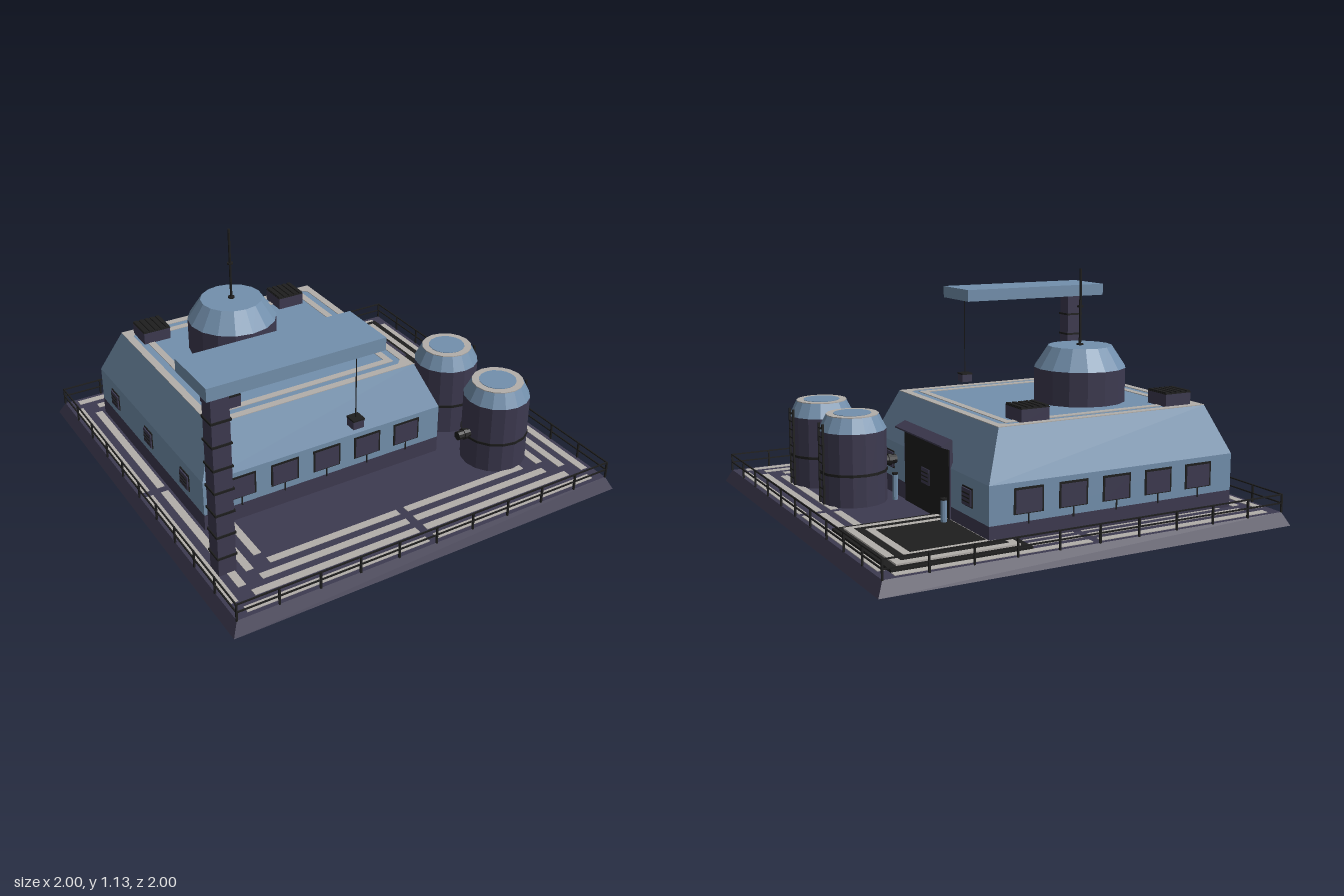
import * as THREE from 'three';

const mat = (name, color, side = THREE.FrontSide) => {
  const m = new THREE.MeshStandardMaterial({ color, side, flatShading: true });
  m.name = name;
  return m;
};

export function createModel() {
  const blue = mat('steel blue', 0x7390ad);
  const purple = mat('dark violet', 0x3d3a50, THREE.DoubleSide);
  const pale = mat('pale grey', 0xb2aeaa);
  const black = mat('charcoal', 0x1e1e1e);

  const root = new THREE.Group();
  const group = (name, x = 0, y = 0, z = 0, parent = root) => {
    const g = new THREE.Group();
    g.name = name;
    g.position.set(x, y, z);
    parent.add(g);
    return g;
  };
  const add = (parent, name, geo, m, x = 0, y = 0, z = 0) => {
    const mesh = new THREE.Mesh(geo, m);
    mesh.name = name;
    mesh.position.set(x, y, z);
    parent.add(mesh);
    return mesh;
  };
  // Box given by its limits on each axis
  const box = (parent, name, m, x0, x1, y0, y1, z0, z1) =>
    add(parent, name, new THREE.BoxGeometry(x1 - x0, y1 - y0, z1 - z0), m,
      (x0 + x1) / 2, (y0 + y1) / 2, (z0 + z1) / 2);
  // Cylinder or cone standing between two heights
  const drum = (parent, name, m, rBottom, rTop, y0, y1, sides = 16, x = 0, z = 0) =>
    add(parent, name, new THREE.CylinderGeometry(rTop, rBottom, y1 - y0, sides), m, x, (y0 + y1) / 2, z);
  // Box whose top face is narrower than its base
  const taper = (w, d, topW, topD, h) => {
    const geo = new THREE.BoxGeometry(w, h, d);
    const p = geo.attributes.position;
    for (let i = 0; i < p.count; i++) {
      if (p.getY(i) > 0) p.setXYZ(i, p.getX(i) * topW / w, p.getY(i), p.getZ(i) * topD / d);
    }
    geo.computeVertexNormals();
    return geo;
  };
  const vectors = pts => pts.map(p => new THREE.Vector2(...p));
  // Flat rectangular frame lying on a surface; inner corners may be chamfered
  const frame = (hw, hd, t, h, c = 0) => {
    const s = new THREE.Shape(vectors([[-hw, -hd], [hw, -hd], [hw, hd], [-hw, hd]]));
    const a = hw - t, b = hd - t;
    s.holes.push(new THREE.Path(vectors(c
      ? [[-a + c, -b], [-a, -b + c], [-a, b - c], [-a + c, b], [a - c, b], [a, b - c], [a, -b + c], [a - c, -b]]
      : [[-a, -b], [-a, b], [a, b], [a, -b]])));
    return new THREE.ExtrudeGeometry(s, { depth: h, bevelEnabled: false }).rotateX(-Math.PI / 2);
  };

  // Base platform: sloping skirt, open underneath, closed by the deck plate
  const platform = group('platform');
  const skirt = new THREE.CylinderGeometry(0.97 * Math.SQRT2, Math.SQRT2, 0.06, 4, 1, true).rotateY(Math.PI / 4);
  add(platform, 'skirt', skirt, purple, 0, 0.03, 0);
  box(platform, 'deckPlate', purple, -0.97, 0.97, 0.056, 0.06, -0.97, 0.97);

  // Painted concentric deck stripes, broken at the centre lines
  const deck = group('deckStripes');
  [0.93, 0.855, 0.78, 0.703].forEach((h, k) => {
    for (const s of [-1, 1]) for (const e of [-1, 1]) {
      const lenX = h - 0.04, lenZ = h - 0.08;
      if (k < 3 || s > 0)
        add(deck, 'stripe', new THREE.BoxGeometry(lenX, 0.004, 0.037), pale, e * (0.02 + lenX / 2), 0.061, s * h);
      if (k < 3 || s < 0)
        add(deck, 'stripe', new THREE.BoxGeometry(0.037, 0.004, lenZ), pale, s * h, 0.061, e * (0.02 + lenZ / 2));
    }
  });

  // Perimeter railing
  const rails = group('railing');
  for (let side = 0; side < 4; side++) {
    const r = group('railSide', 0, 0, 0, rails);
    r.rotation.y = side * Math.PI / 2;
    for (const y of [0.102, 0.141]) box(r, 'rail', black, -0.974, 0.974, y - 0.003, y + 0.003, 0.967, 0.973);
    for (let i = 0; i < 10; i++) {
      const x = -0.97 + i * 0.194;
      box(r, 'railPost', black, x - 0.004, x + 0.004, 0.058, 0.144, 0.966, 0.974);
    }
  }

  // Landing pad of nested squares
  const pad = group('landingPad', 0.597, 0, -0.602);
  [0.312, 0.275, 0.24, 0.205, 0.17].forEach((h, i) =>
    box(pad, 'padLayer', i % 2 ? pale : black, -h, h, 0.06, i ? 0.078 + i * 0.0015 : 0.072, -h, h));

  // Main hall
  const hall = group('mainHall', -0.2, 0, -0.205);
  const W = 0.622, D = 0.585;
  box(hall, 'plinth', purple, -W, W, 0.06, 0.14, -D, D);
  box(hall, 'walls', blue, -W, W, 0.14, 0.31, -D, D);
  add(hall, 'slopedRoof', taper(W * 2, D * 2, 1.06, 0.995, 0.216), blue, 0, 0.418, 0);
  add(hall, 'roofEdge', frame(0.53, 0.4975, 0.036, 0.004, 0.03), pale, 0, 0.525, 0);
  add(hall, 'roofInnerFrame', frame(0.46, 0.428, 0.034, 0.003), pale, 0, 0.526, 0);

  // Framed windows along the front and back
  for (const s of [1, -1]) {
    const row = group('windowRow', 0, 0, 0, hall);
    if (s < 0) row.rotation.y = Math.PI;
    for (let i = -2; i <= 2; i++) {
      const w = group('window', i * 0.218, 0, D, row);
      box(w, 'windowFrame', black, -0.071, 0.071, 0.174, 0.287, 0, 0.003);
      box(w, 'windowPane', purple, -0.062, 0.062, 0.178, 0.277, 0, 0.005);
      box(w, 'windowPost', black, -0.003, 0.003, 0.13, 0.176, 0, 0.003);
    }
  }

  // Louvred vents on both ends
  for (const s of [1, -1]) for (const z of [-0.4, 0, 0.4]) {
    const v = group('sideVent', s * W, 0, z, hall);
    v.rotation.y = s * Math.PI / 2;
    box(v, 'ventFrame', black, -0.045, 0.045, 0.182, 0.266, 0, 0.004);
    box(v, 'ventPanel', purple, -0.041, 0.041, 0.187, 0.259, 0, 0.01);
    for (const y of [0.205, 0.223, 0.241])
      box(v, 'ventSlat', black, -0.034, 0.034, y - 0.003, y + 0.003, 0, 0.013);
  }

  // Roof ventilation boxes
  for (const [x, z] of [[-0.61, -0.6], [0.134, -0.6], [-0.61, 0.148]]) {
    const u = group('roofUnit', x, 0.525, z);
    box(u, 'unitBody', purple, -0.068, 0.068, 0, 0.058, -0.068, 0.068);
    box(u, 'unitTop', black, -0.069, 0.069, 0.058, 0.062, -0.069, 0.069);
    for (let i = -2; i <= 2; i++)
      box(u, 'unitFin', black, i * 0.029 - 0.009, i * 0.029 + 0.009, 0.062, 0.068, -0.066, 0.066);
  }

  // Round tower with antenna
  const tower = group('tower', -0.312, 0, -0.312);
  drum(tower, 'towerDrum', purple, 0.212, 0.212, 0.525, 0.682);
  drum(tower, 'towerCap', blue, 0.213, 0.148, 0.682, 0.78);
  drum(tower, 'antenna', black, 0.006, 0.006, 0.78, 1.13, 8);
  drum(tower, 'antennaFoot', black, 0.016, 0.016, 0.78, 0.787, 8);
  drum(tower, 'antennaCollar', black, 0.015, 0.015, 0.954, 0.962, 8);

  // Cargo door standing flush with the wall, sloping awning and bollards
  const door = group('cargoDoor');
  box(door, 'doorFrame', purple, 0.412, 0.426, 0.06, 0.43, -0.445, 0.025);
  box(door, 'doorPanel', black, 0.41, 0.428, 0.06, 0.395, -0.438, 0.018);
  const wedge = new THREE.Shape(vectors([[0, 0.388], [0.05, 0.406], [0.05, 0.413], [0, 0.436]]));
  add(door, 'awning', new THREE.ExtrudeGeometry(wedge, { depth: 0.483, bevelEnabled: false }), purple, 0.42, 0, -0.453);
  for (const z of [-0.462, 0.05]) {
    drum(door, 'bollard', blue, 0.014, 0.014, 0.06, 0.18, 8, 0.465, z);
    drum(door, 'bollardCap', black, 0.015, 0.015, 0.18, 0.188, 8, 0.465, z);
  }

  // Storage tanks with band, ladder and feed pipe
  for (const z of [0.137, 0.54]) {
    const t = group('tank', 0.637, 0, z);
    drum(t, 'tankBody', purple, 0.156, 0.156, 0.06, 0.4);
    drum(t, 'tankShoulder', blue, 0.157, 0.122, 0.4, 0.468);
    drum(t, 'tankRim', pale, 0.122, 0.122, 0.468, 0.472);
    drum(t, 'tankLid', blue, 0.088, 0.088, 0.468, 0.474);
    drum(t, 'tankBand', black, 0.16, 0.16, 0.202, 0.214);
    for (const s of [-1, 1])
      box(t, 'ladderRail', black, 0.15, 0.16, 0.06, 0.437, s * 0.025 - 0.004, s * 0.025 + 0.004);
    for (let i = 0; i < 9; i++)
      box(t, 'ladderRung', black, 0.151, 0.159, 0.092 + i * 0.04, 0.098 + i * 0.04, -0.025, 0.025);
    add(t, 'feedPipe', new THREE.CylinderGeometry(0.022, 0.022, 0.075, 10).rotateZ(Math.PI / 2), black, -0.182, 0.232, 0);
    add(t, 'pipeFlange', new THREE.CylinderGeometry(0.028, 0.028, 0.016, 10).rotateZ(Math.PI / 2), black, -0.18, 0.232, 0);
  }

  // Crane with banded mast, boom and hanging hook
  const crane = group('crane');
  box(crane, 'mast', purple, -0.91, -0.828, 0.06, 0.925, 0.613, 0.693);
  for (let i = 0; i < 7; i++)
    box(crane, 'mastBand', black, -0.915, -0.823, 0.145 + i * 0.109, 0.155 + i * 0.109, 0.608, 0.698);
  box(crane, 'boom', blue, -0.935, -0.12, 0.922, 0.981, 0.435, 0.715);
  drum(crane, 'cable', black, 0.0025, 0.0025, 0.535, 0.925, 6, -0.167, 0.567);
  box(crane, 'hookBlock', purple, -0.194, -0.14, 0.492, 0.536, 0.54, 0.594);
  box(crane, 'hookTop', black, -0.196, -0.138, 0.53, 0.538, 0.538, 0.596);

  return root;
}
